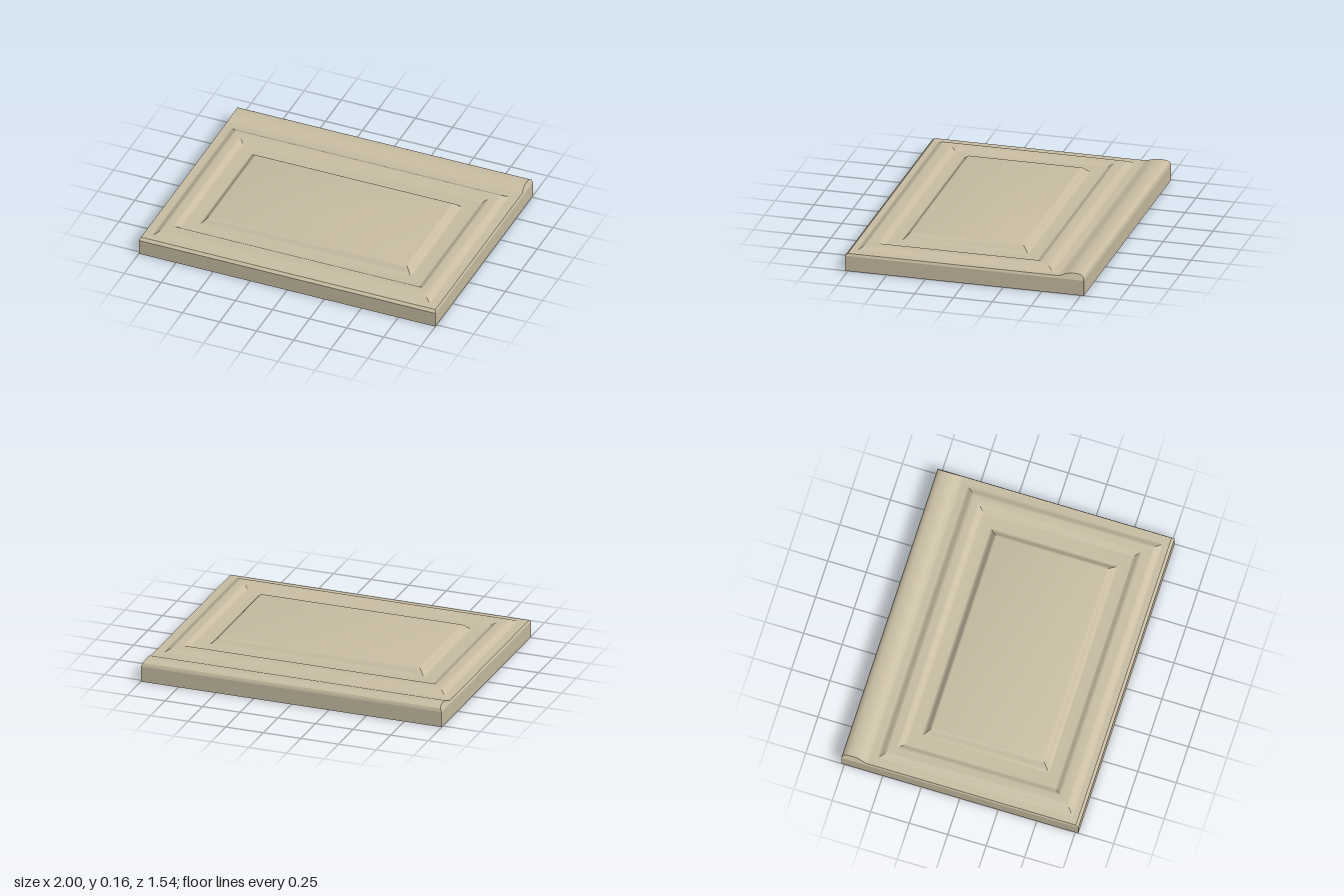
import * as THREE from 'three';
import { toCreasedNormals } from 'three/addons/utils/BufferGeometryUtils.js';

// Skin rows of points (equal length) into a surface with soft curves and sharp edges
function skin(rows, closed) {
  const n = rows[0].length, pos = rows.flat(2), idx = [];
  for (let r = 0; r < rows.length - 1; r++) {
    for (let i = 0; i < (closed ? n : n - 1); i++) {
      const a = r * n + i, b = r * n + (i + 1) % n;
      idx.push(a, b, b + n, a, b + n, a + n);
    }
  }
  const g = new THREE.BufferGeometry();
  g.setAttribute('position', new THREE.Float32BufferAttribute(pos, 3));
  g.setIndex(idx);
  return toCreasedNormals(g.toNonIndexed(), 0.4);
}

// One rectangular contour: half width, front z, back z, height
const ring = ([x, f, b, y]) => [[-x, y, f], [x, y, f], [x, y, b], [-x, y, b]];

// S-shaped moulding slope between two contours
function slope(from, to, steps = 8) {
  const rings = [];
  for (let i = 0; i <= steps; i++) {
    const t = i / steps, s = t * t * (3 - 2 * t);
    rings.push(from.map((v, k) => v + (to[k] - v) * (k === 3 ? s : t)));
  }
  return rings;
}

export function createModel() {
  const model = new THREE.Group();
  const paint = new THREE.MeshStandardMaterial({ color: 0xc9bda3 });
  paint.name = 'warm beige';
  const add = (name, geometry) => {
    const mesh = new THREE.Mesh(geometry, paint);
    mesh.name = name;
    model.add(mesh);
    return mesh;
  };

  // Flat backing slab
  add('slab', new THREE.BoxGeometry(2, 0.1, 1.54)).position.y = 0.05;

  // Bevelled rim, raised frame moulding and sunken field
  const frame = [
    [1, 0.77, -0.77, 0.1],
    [0.993, 0.752, -0.765, 0.115],
    ...slope([0.945, 0.72, -0.56, 0.115], [0.885, 0.66, -0.5, 0.14]),
    ...slope([0.845, 0.605, -0.455, 0.14], [0.8, 0.56, -0.41, 0.12]),
    [0.715, 0.49, -0.335, 0.12],
  ];
  add('frameMoulding', skin(frame.map(ring), true));

  // Raised centre panel with its flat top
  const panel = slope([0.715, 0.49, -0.335, 0.12], [0.66, 0.435, -0.28, 0.16]);
  panel.push([0, 0.08, 0.08, 0.16]);
  add('centrePanel', skin(panel.map(ring), true));

  // Rounded rail along the back edge, with slightly sloping ends
  const profile = [[-0.6, 0.115], [-0.615, 0.117], [-0.63, 0.122], [-0.645, 0.128],
    [-0.66, 0.133], [-0.68, 0.137], [-0.7, 0.138], [-0.73, 0.137], [-0.75, 0.132],
    [-0.762, 0.123], [-0.768, 0.11], [-0.77, 0.1]];
  const endX = (y) => 1 - (y - 0.1) * 0.45;
  const rail = profile.map(([z, y]) => [[-endX(y), y, z], [endX(y), y, z]]);
  add('backRail', skin(rail, false));
  const ends = [1, -1].map((s) => {
    const top = profile.map(([z, y]) => [s * endX(y), y, z]);
    const foot = profile.map(([z]) => [s, 0.1, z]);
    return s > 0 ? [foot, top] : [top, foot];
  });
  add('leftRailEnd', skin(ends[0], false));
  add('rightRailEnd', skin(ends[1], false));

  return model;
}
